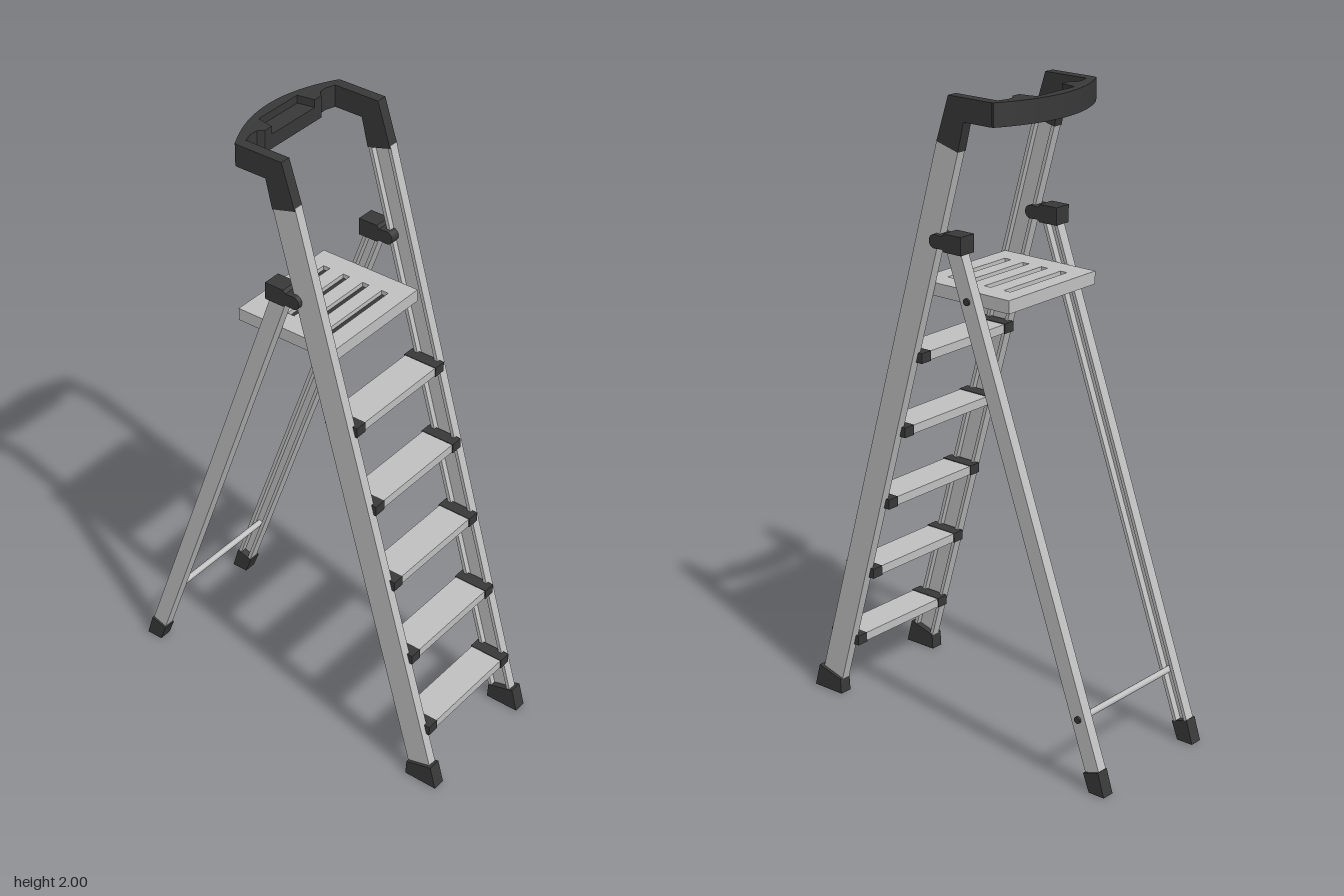
import * as THREE from 'three';

export function createModel() {
  const root = new THREE.Group();
  root.name = 'stepLadder';
  const aluminium = new THREE.MeshStandardMaterial({ color: 0xc0c0c0 });
  aluminium.name = 'aluminium';
  const plastic = new THREE.MeshStandardMaterial({ color: 0x383838 });
  plastic.name = 'darkPlastic';

  const add = (name, geometry, material, x = 0, y = 0, z = 0) => {
    const mesh = new THREE.Mesh(geometry, material);
    mesh.name = name;
    mesh.position.set(x, y, z);
    root.add(mesh);
    return mesh;
  };
  const box = (name, material, w, h, d, x, y, z) =>
    add(name, new THREE.BoxGeometry(w, h, d), material, x, y, z);
  const polygon = (pts) => new THREE.Shape(pts.map((p) => new THREE.Vector2(...p)));
  const extrude = (shape, depth) =>
    new THREE.ExtrudeGeometry(shape, { depth, bevelEnabled: false, curveSegments: 16 });

  // Side profile extruded between two distances from the centre plane
  const sidePlate = (name, shape, zIn, zOut, side, material) =>
    add(name, extrude(shape, zOut - zIn), material, 0, 0, side > 0 ? zIn : -zOut);

  // Plan outline extruded upwards from y
  const planPlate = (name, shape, height, y, material) =>
    add(name, extrude(shape, height).rotateX(-Math.PI / 2), material, 0, y, 0);

  // Leaning channel, open towards the middle, with level ends
  const channel = (name, side, width, zIn, zOut, bottom, top) => {
    const a = width / 2, wall = 0.012, web = zOut - 0.012;
    const section = polygon([
      [-a, zIn], [-a + wall, zIn], [-a + wall, web], [a - wall, web],
      [a - wall, zIn], [a, zIn], [a, zOut], [-a, zOut],
    ].map(([u, z]) => [u, -side * z]));
    const geometry = extrude(section, 1);
    const pos = geometry.attributes.position;
    for (let i = 0; i < pos.count; i++) {
      const t = pos.getZ(i);
      pos.setXYZ(i,
        THREE.MathUtils.lerp(bottom[0], top[0], t) + pos.getX(i),
        THREE.MathUtils.lerp(bottom[1], top[1], t),
        -pos.getY(i));
    }
    geometry.computeVertexNormals();
    add(name, geometry, aluminium);
  };

  // Hinge block with a rounded nose
  const hinge = new THREE.Shape();
  hinge.moveTo(-0.05, 1.545);
  hinge.lineTo(0.015, 1.545);
  hinge.lineTo(0.022, 1.552);
  hinge.lineTo(0.05, 1.55);
  hinge.absarc(0.05, 1.571, 0.021, -Math.PI / 2, Math.PI / 2, false);
  hinge.lineTo(0.022, 1.59);
  hinge.lineTo(0.015, 1.6);
  hinge.lineTo(-0.05, 1.6);

  for (const side of [1, -1]) {
    const label = side > 0 ? 'Left' : 'Right';
    channel('stepRail' + label, side, 0.086, 0.2, 0.23, [0.52, 0.04], [0.006, 1.87]);
    channel('rearLeg' + label, side, 0.055, 0.2, 0.234, [-0.548, 0.04], [-0.009, 1.56]);
    sidePlate('railFoot' + label,
      polygon([[0.472, 0], [0.585, 0], [0.565, 0.075], [0.475, 0.05]]), 0.198, 0.24, side, plastic);
    sidePlate('legFoot' + label,
      polygon([[-0.588, 0], [-0.532, 0], [-0.51, 0.057], [-0.565, 0.075]]), 0.198, 0.24, side, plastic);
    sidePlate('hinge' + label, hinge, 0.187, 0.245, side, plastic);
    sidePlate('handleArm' + label,
      polygon([[-0.155, 1.93], [-0.052, 1.93], [-0.03, 1.84], [0.05, 1.862], [0.005, 2], [-0.155, 2]]),
      0.198, 0.232, side, plastic);
  }

  // Curved top bar, with a tray cut into its upper layer
  const topBar = (tray) => {
    const inner = [[-0.145, 0.205], [-0.158, 0.165], [-0.156, 0.14], [-0.14, 0.125], [-0.14, 0.095]];
    if (tray) inner.push([-0.195, 0.085]);
    const shape = new THREE.Shape();
    shape.moveTo(-0.145, -0.232);
    shape.lineTo(-0.16, -0.23);
    shape.quadraticCurveTo(-0.296, 0, -0.16, 0.23);
    shape.lineTo(-0.145, 0.232);
    inner.forEach(([x, z]) => shape.lineTo(x, z));
    inner.reverse().forEach(([x, z]) => shape.lineTo(x, -z));
    return shape;
  };
  planPlate('topBar', topBar(false), 0.045, 1.93, plastic);
  planPlate('trayRim', topBar(true), 0.025, 1.975, plastic);

  // Treads with end caps
  for (let i = 0; i < 5; i++) {
    const y = 0.19 + i * 0.25, x = 0.478 - i * 0.0712;
    box('tread', aluminium, 0.11, 0.028, 0.35, x, y, 0);
    for (const side of [1, -1]) {
      box('treadCap', plastic, 0.116, 0.032, 0.04, x, y, side * 0.19);
    }
  }

  // Platform with recessed grip slots
  const deck = polygon([[-0.19, -0.198], [0.158, -0.198], [0.158, 0.198], [-0.19, 0.198]]);
  for (const x of [-0.125, -0.052, 0.02, 0.09]) {
    const a = 0.012, b = 0.13;
    deck.holes.push(new THREE.Path([
      [x - a, -b], [x - a, b], [x + a, b], [x + a, -b],
    ].map((p) => new THREE.Vector2(...p))));
    box('gripStrip', plastic, 0.024, 0.004, 0.26, x, 1.414, 0);
  }
  planPlate('platformTop', deck, 0.018, 1.412, aluminium);
  box('platformBase', aluminium, 0.348, 0.022, 0.396, -0.016, 1.401, 0);

  // Rear brace rod and the bolts on the right side
  const rod = (name, radius, length, material, x, y, z) =>
    add(name, new THREE.CylinderGeometry(radius, radius, length, 16).rotateX(Math.PI / 2), material, x, y, z);
  rod('braceRod', 0.01, 0.45, aluminium, -0.485, 0.22, 0);
  rod('braceBolt', 0.011, 0.012, plastic, -0.485, 0.22, -0.234);
  rod('platformBolt', 0.011, 0.012, plastic, -0.064, 1.41, -0.234);

  return root;
}
